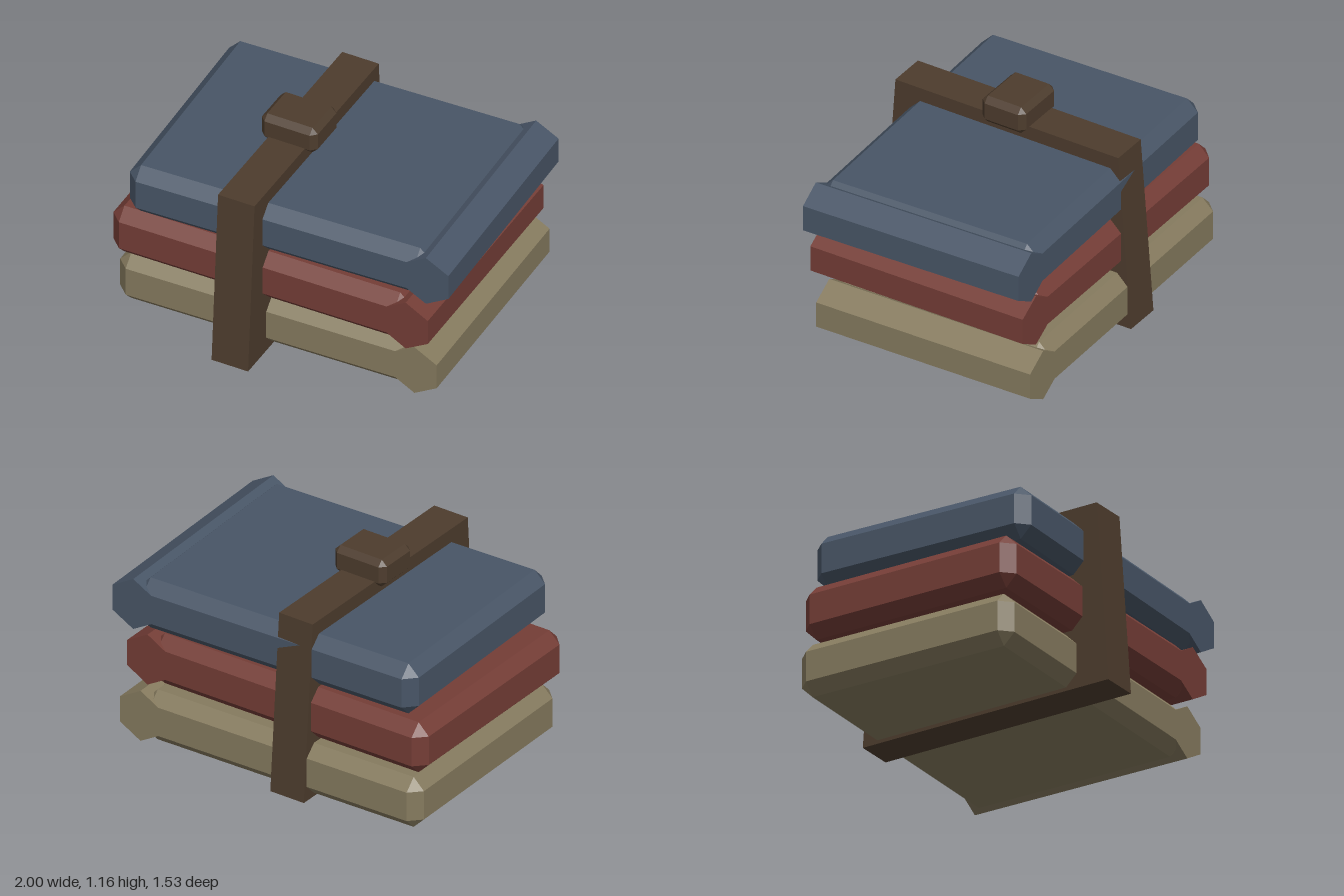
import * as THREE from 'three';
import { ConvexGeometry } from 'three/addons/geometries/ConvexGeometry.js';

const material = (name, color) => {
  const m = new THREE.MeshStandardMaterial({ color, flatShading: true });
  m.name = name;
  return m;
};

// Box with every edge cut at 45 degrees and triangular corners
function chamferedBox(w, h, d, c) {
  const points = [];
  for (const x of [-1, 1]) for (const y of [-1, 1]) for (const z of [-1, 1]) {
    for (const [a, b, e] of [[0, c, c], [c, 0, c], [c, c, 0]]) {
      points.push(new THREE.Vector3(x * (w / 2 - a), y * (h / 2 - b), z * (d / 2 - e)));
    }
  }
  return new ConvexGeometry(points);
}

function addMesh(parent, name, geometry, mat, x = 0, y = 0, z = 0) {
  const mesh = new THREE.Mesh(geometry, mat);
  mesh.name = name;
  mesh.position.set(x, y, z);
  parent.add(mesh);
  return mesh;
}

export function createModel() {
  const model = new THREE.Group();
  model.name = 'strappedBooks';
  const leather = material('brown leather', 0x4d3c2d);

  // Books: chamfered block with a six-sided spine along the right end
  const width = 1.748, height = 0.3, depth = 1.31;
  const block = chamferedBox(width, height, depth, 0.065);
  const spine = new THREE.CylinderGeometry(0.15, 0.15, depth, 6).rotateX(Math.PI / 2);
  const books = [
    ['bottomBook', material('tan cover', 0x857a5e), -0.104, 0.17, -0.09, 0.021],
    ['middleBook', material('red cover', 0x743d36), -0.121, 0.4875, -0.05, 0.009],
    ['topBook', material('blue cover', 0x485566), -0.028, 0.805, -0.05, 0.033],
  ];
  for (const [name, mat, x, y, z, turn] of books) {
    const book = new THREE.Group();
    book.name = name;
    book.position.set(x, y, z);
    book.rotation.y = turn;
    addMesh(book, 'bookBlock', block, mat);
    addMesh(book, 'bookSpine', spine, mat, width / 2);
    model.add(book);
  }

  // Strap: wide at the foot, narrower on top
  const profile = new THREE.Shape([
    new THREE.Vector2(-0.767, 0), new THREE.Vector2(0.767, 0),
    new THREE.Vector2(0.688, 1.035), new THREE.Vector2(-0.695, 1.035),
  ]);
  const strap = new THREE.ExtrudeGeometry(profile, { depth: 0.215, bevelEnabled: false });
  strap.translate(0, 0, -0.1075).rotateY(Math.PI / 2);
  addMesh(model, 'strap', strap, leather, -0.1875);

  // Buckle on top of the strap
  addMesh(model, 'buckle', chamferedBox(0.33, 0.16, 0.27, 0.032), leather, -0.185, 1.08, 0);

  return model;
}
